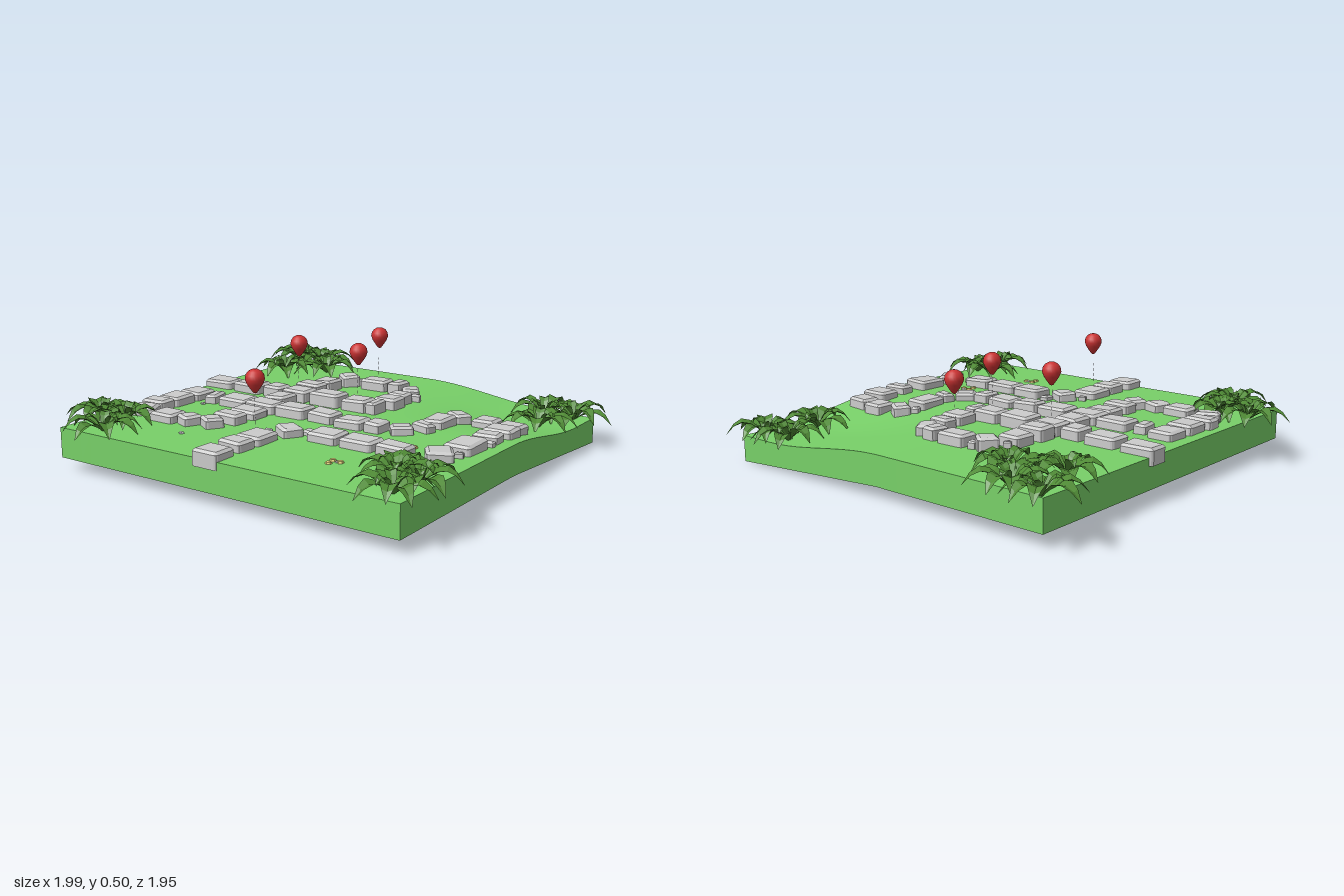
import * as THREE from 'three';

const mat = (color, extra = {}) => new THREE.MeshStandardMaterial({ color, ...extra });
const grass = mat(0x78d068);
const stone = mat(0xcccccc, { flatShading: true });
const leafMat = mat(0x4f8a35, { flatShading: true, side: THREE.DoubleSide });
const red = mat(0xcc3333);
const yellow = mat(0xe6d47a, { flatShading: true });

let seed = 7;
const rand = () => (seed = (seed * 16807) % 2147483647) / 2147483647;
const { clamp, smoothstep } = THREE.MathUtils;

// the back right corner of the ground sinks smoothly
const groundY = (x, z) => 0.19 - 0.07 * smoothstep(x, 0, 0.7) * smoothstep(-z, -0.02, 0.62);
const underY = (x, z) => 0.055 - 0.055 * clamp((x - 0.02) / 0.86, 0, 1) * clamp(-z / 0.825, 0, 1);

function add(parent, name, geometry, material, x = 0, y = 0, z = 0) {
  const mesh = new THREE.Mesh(geometry, material);
  mesh.name = name;
  mesh.position.set(x, y, z);
  parent.add(mesh);
  return mesh;
}

function groundGeometry() {
  const g = new THREE.BoxGeometry(1.72, 1, 1.715, 28, 1, 28);
  g.translate(0.02, 0, 0.0325);
  const p = g.attributes.position;
  for (let i = 0; i < p.count; i++) {
    const x = p.getX(i), z = p.getZ(i);
    p.setY(i, p.getY(i) > 0 ? groundY(x, z) : underY(x, z));
  }
  g.computeVertexNormals();
  return g;
}

// hewn block: chamfered top rim, slightly irregular corners
function stoneGeometry(w, h, d) {
  const g = new THREE.BoxGeometry(1, 1, 1, 3, 2, 3);
  const p = g.attributes.position;
  const skew = Array.from({ length: 8 }, () => (rand() - 0.5) * 0.1);
  const bevel = Math.min(0.013, w * 0.2, d * 0.2);
  for (let i = 0; i < p.count; i++) {
    const x = p.getX(i), y = p.getY(i), z = p.getZ(i);
    const place = (v, size) => Math.abs(v) > 0.4 ? v * size : Math.sign(v) * (size / 2 - bevel);
    const rim = Math.abs(x) > 0.4 || Math.abs(z) > 0.4;
    const corner = Math.abs(x) > 0.4 && Math.abs(z) > 0.4 ? 0.93 : 1;
    const k = (x > 0 ? 1 : 0) + (z > 0 ? 2 : 0);
    p.setXYZ(i,
      place(x, w) * corner * (1 + skew[k]),
      (y > 0.4 ? h / 2 - (rim ? bevel * 0.8 : 0) : y < -0.4 ? -h / 2 : h * 0.1) + skew[k] * 0.05,
      place(z, d) * corner * (1 + skew[k + 4]));
  }
  g.computeVertexNormals();
  return g;
}

// path runs, each stone as [x, z, width, depth, turn]
const paths = {
  crossRowStone: [
    [-.77, -.11, .16, .115], [-.59, -.11, .155, .115], [-.435, -.105, .1, .1], [-.3, -.105, .135, .11],
    [-.13, -.105, .16, .115], [.035, -.105, .13, .11], [.13, -.105, .055, .1]],
  columnStone: [
    [-.31, -.345, .11, .12], [-.31, -.215, .125, .1], [-.31, .03, .115, .12],
    [-.295, .155, .16, .115], [-.295, .28, .14, .11], [-.3, .4, .13, .085]],
  backLoopStone: [
    [-.33, -.425, .035, .03, .6], [-.265, -.475, .09, .09, -.7], [-.215, -.505, .035, .04, .3],
    [-.11, -.49, .14, .1], [.01, -.49, .07, .09, -.1], [.105, -.45, .08, .1, .6],
    [.16, -.405, .045, .03, .3], [.115, -.335, .1, .075], [.125, -.23, .12, .105]],
  leftLoopStone: [
    [-.725, .285, .125, .13], [-.735, .4, .13, .085], [-.7, .51, .11, .085, .4],
    [-.545, .53, .13, .11], [-.425, .525, .085, .09, -.35], [-.315, .5, .09, .09, -.6]],
  middleRowStone: [
    [-.72, .145, .12, .12], [-.595, .16, .06, .1, .2], [-.46, .15, .155, .115], [-.13, .15, .155, .115],
    [.03, .15, .135, .1], [.18, .155, .135, .11], [.305, .155, .08, .095], [.41, .125, .1, .09, .65]],
  rightBendStone: [
    [.47, .04, .1, .06, -.35], [.47, -.085, .105, .15], [.435, -.19, .04, .035, .4], [.49, -.23, .1, .08, -.6],
    [.625, -.24, .105, .105], [.755, -.215, .12, .1, -.1], [.765, -.1, .135, .115], [.765, .025, .12, .08, .1],
    [.805, .09, .05, .03], [.755, .195, .125, .15], [.78, .295, .04, .035, .3], [.73, .36, .11, .11, .6],
    [.655, .42, .04, .04, .5]],
  frontPathStone: [
    [.55, .395, .14, .1], [.385, .395, .16, .115], [.22, .395, .145, .115], [.105, .365, .05, .05],
    [.04, .42, .1, .09, -.5], [-.04, .46, .035, .03, .4], [-.015, .565, .125, .14],
    [-.015, .7, .12, .1], [-.015, .84, .125, .12]],
};

// one arching pointed leaf along +x, folded along its midrib
function leafGeometry(length, width, rise, droop) {
  const widths = [0.15, 0.6, 0.95, 1, 0.6, 0], pos = [], index = [];
  widths.forEach((w, i) => {
    const t = i / 5, x = length * t, y = rise * Math.sin(Math.PI * 0.75 * t) - droop * t * t * t;
    const half = width * w / 2;
    pos.push(x, y + half * 0.35, -half, x, y, 0, x, y + half * 0.35, half);
    if (i) for (const k of [0, 1]) {
      const a = (i - 1) * 3 + k, b = a + 3;
      index.push(a, a + 1, b, a + 1, b + 1, b);
    }
  });
  const g = new THREE.BufferGeometry();
  g.setAttribute('position', new THREE.Float32BufferAttribute(pos, 3));
  g.setIndex(index);
  g.computeVertexNormals();
  return g;
}

function fern(x, z) {
  const plant = new THREE.Group();
  plant.name = 'fern';
  plant.position.set(x, groundY(x, z) - 0.005, z);
  const start = rand() * 6;
  for (let i = 0; i < 8; i++) {
    const length = 0.15 + rand() * 0.035;
    const leaf = add(plant, 'leaf', leafGeometry(length, 0.07, 0.055 + rand() * 0.025, 0.04), leafMat);
    leaf.rotation.y = start + (i + rand() * 0.4) * Math.PI / 4;
  }
  for (let i = 0; i < 3; i++) {
    const leaf = add(plant, 'innerLeaf', leafGeometry(0.085, 0.045, 0.075, 0), leafMat);
    leaf.rotation.y = start + 0.4 + i * Math.PI * 2 / 3;
  }
  return plant;
}

const balloonProfile = [[0, .395], [.008, .398], [.021, .416], [.034, .436], [.041, .455],
  [.038, .473], [.028, .487], [.014, .495], [0, .497]].map(([r, y]) => new THREE.Vector2(r, y));

function balloon(x, z) {
  const group = new THREE.Group();
  group.name = 'balloon';
  group.position.set(x, 0, z);
  add(group, 'balloonBody', new THREE.LatheGeometry(balloonProfile, 24), red);
  // broken string
  for (let i = 0; i < 5; i++) {
    add(group, 'stringDash', new THREE.CylinderGeometry(0.001, 0.001, 0.014, 5), stone, -0.003, 0.37 - i * 0.025, 0);
  }
  return group;
}

export function createModel() {
  const model = new THREE.Group();
  model.name = 'garden';
  add(model, 'ground', groundGeometry(), grass);

  for (const [name, stones] of Object.entries(paths)) {
    for (const [x, z, w, d, turn = 0] of stones) {
      const small = Math.max(w, d) < 0.06;
      const lift = 0.02 * Math.exp(-((x + 0.12) ** 2 + (z + 0.25) ** 2) / 0.12);
      const top = groundY(x, z) + (small ? 0.022 : 0.036 + rand() * 0.008) + lift;
      const mesh = add(model, name, stoneGeometry(w, 0.072, d), stone, x, top - 0.036, z);
      mesh.rotation.set((rand() - 0.5) * 0.05, turn + (rand() - 0.5) * 0.06, (rand() - 0.5) * 0.05);
    }
  }

  // ferns clustered at the corners
  for (const [x, z] of [
    [-.82, -.81], [-.66, -.79], [-.53, -.65], [-.73, -.55],
    [-.82, .66], [-.69, .65], [-.65, .82],
    [.71, .64], [.82, .66], [.8, .81],
    [.66, -.75], [.81, -.75], [.74, -.52]]) model.add(fern(x, z));

  for (const [x, z] of [[-.1, -.49], [-.3, -.105], [.035, -.105], [-.01, .58]]) model.add(balloon(x, z));

  // small flowers and pebbles in the grass
  for (const [x, z] of [[-.37, -.52], [.03, -.38], [.55, .3], [.42, .635]]) {
    for (const [dx, dz] of [[-.012, .018], [.02, -.016], [-.018, -.02]]) {
      add(model, 'flower', new THREE.CylinderGeometry(0.012, 0.015, 0.008, 6), yellow,
        x + dx, groundY(x, z) + 0.004, z + dz);
    }
  }
  for (const [x, z] of [[-.35, .66], [-.61, .23], [-.17, .03], [.56, .27], [.43, .62], [-.39, -.51]]) {
    add(model, 'pebble', new THREE.DodecahedronGeometry(0.013), stone, x, groundY(x, z), z).scale.y = 0.7;
  }
  return model;
}
